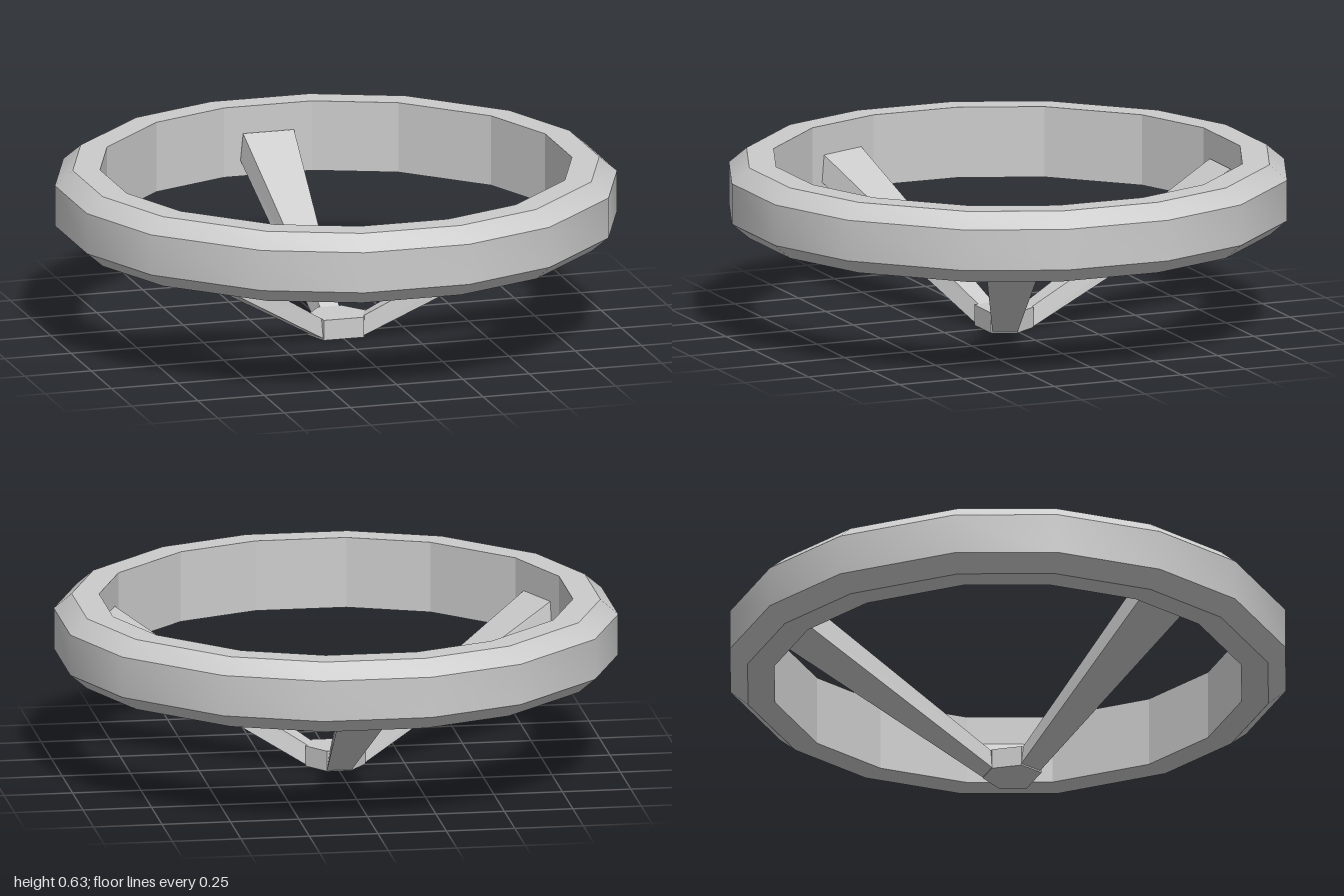
import * as THREE from 'three';
import { toCreasedNormals } from 'three/addons/utils/BufferGeometryUtils.js';

const rad = THREE.MathUtils.degToRad;
const smooth = new THREE.MeshStandardMaterial({ color: 0xcccccc });
const faceted = new THREE.MeshStandardMaterial({ color: 0xcccccc, flatShading: true });

// Sixteen corners of the rim, four per quadrant
const rimAngles = [];
for (let q = 0; q < 4; q++) {
  for (const a of [11.2, 32.2, 57.8, 78.8]) rimAngles.push(rad(a + q * 90));
}

// Sweep a profile of [radius, height] points around the rim corners
function sweep(profile) {
  const pos = [];
  const at = (p, a) => [p[0] * Math.cos(a), p[1], p[0] * Math.sin(a)];
  rimAngles.forEach((a, i) => {
    const b = rimAngles[(i + 1) % rimAngles.length];
    for (let j = 0; j < profile.length - 1; j++) {
      const lo = profile[j], hi = profile[j + 1];
      pos.push(...at(lo, a), ...at(hi, a), ...at(hi, b));
      pos.push(...at(lo, a), ...at(hi, b), ...at(lo, b));
    }
  });
  const g = new THREE.BufferGeometry();
  g.setAttribute('position', new THREE.Float32BufferAttribute(pos, 3));
  g.computeVertexNormals();
  return g;
}

// Tapered, rising spoke along +x with a slightly narrower top
function spokeGeometry() {
  const g = new THREE.BoxGeometry(1, 1, 1);
  const p = g.attributes.position;
  const mix = THREE.MathUtils.lerp;
  for (let i = 0; i < p.count; i++) {
    const t = p.getX(i) + 0.5;
    const top = p.getY(i) > 0;
    const half = mix(0.045, 0.106, t) - (top ? 0.01 : 0);
    p.setXYZ(i, mix(0.09, 0.85, t),
      top ? mix(0.072, 0.53, t) : mix(0, 0.43, t),
      Math.sign(p.getZ(i)) * half);
  }
  g.computeVertexNormals();
  return g;
}

function add(group, name, geometry, material) {
  const mesh = new THREE.Mesh(geometry, material);
  mesh.name = name;
  group.add(mesh);
  return mesh;
}

export function createModel() {
  const wheel = new THREE.Group();
  wheel.name = 'wheel';

  // Rim: bevelled outside, plain inner wall
  const rim = new THREE.Group();
  rim.name = 'rim';
  wheel.add(rim);
  const outer = [[0.856, 0.37], [0.955, 0.37], [1.0195, 0.425],
    [1.0195, 0.575], [0.955, 0.63], [0.856, 0.63]];
  add(rim, 'rimOuter', toCreasedNormals(sweep(outer), rad(30)), smooth);
  add(rim, 'rimInner', sweep([[0.856, 0.63], [0.856, 0.37]]), faceted);

  // Hub: flat six-sided block
  const corners = [[-0.045, 0.08], [-0.11, -0.01], [-0.075, -0.1],
    [0.075, -0.1], [0.11, -0.01], [0.045, 0.08]];
  const shape = new THREE.Shape(corners.map(c => new THREE.Vector2(...c)));
  const hub = new THREE.ExtrudeGeometry(shape, { depth: 0.075, bevelEnabled: false });
  add(wheel, 'hub', hub.rotateX(-Math.PI / 2), faceted);

  // Three spokes rising from the hub to the rim
  const spoke = spokeGeometry();
  const turns = { backSpoke: 90, leftSpoke: -20.8, rightSpoke: -159.2 };
  for (const [name, angle] of Object.entries(turns)) {
    const mesh = add(wheel, name, spoke, faceted);
    mesh.rotation.y = rad(angle);
    mesh.position.z = 0.016;
  }
  return wheel;
}
